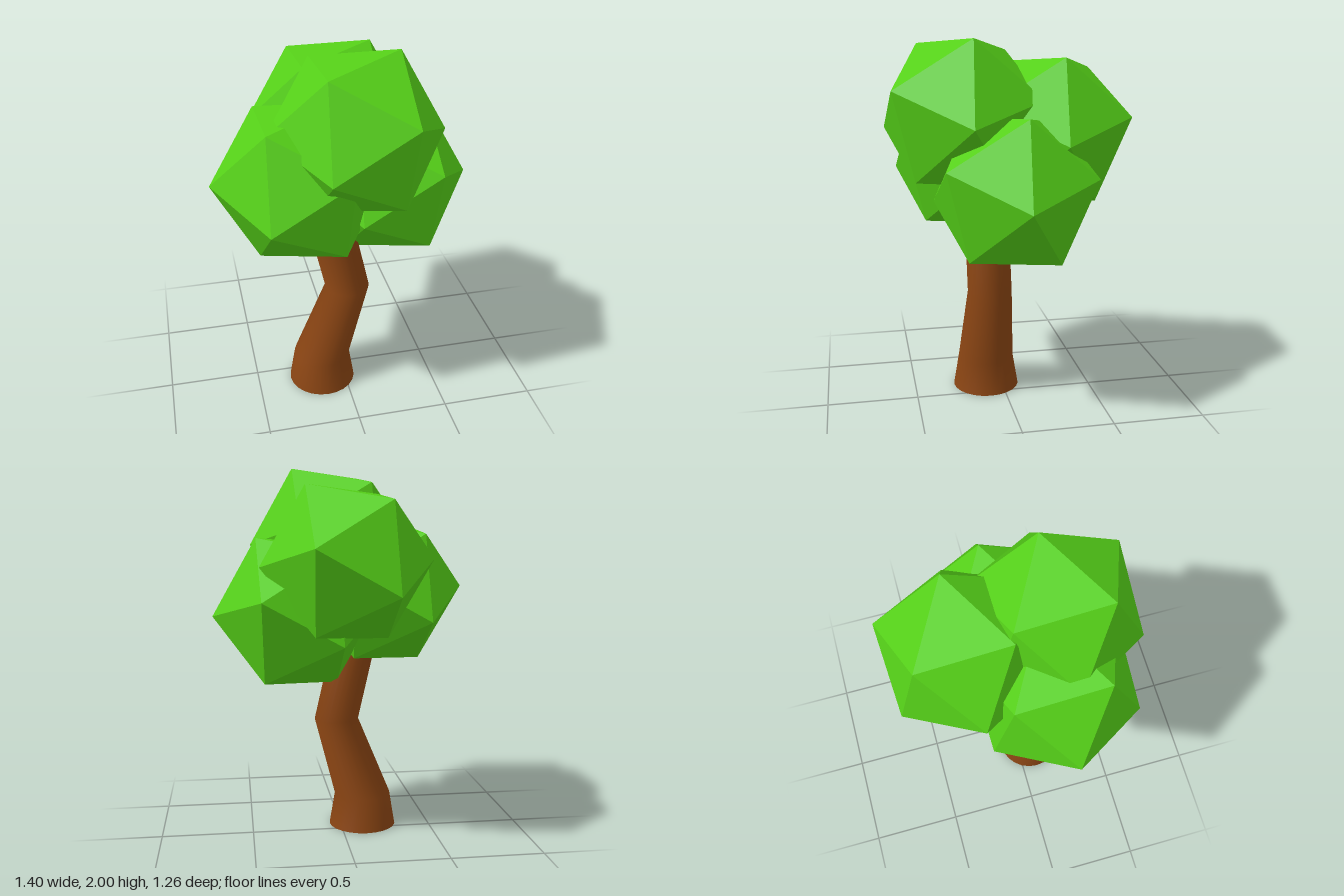
import * as THREE from 'three';
import { toCreasedNormals } from 'three/addons/utils/BufferGeometryUtils.js';

export function createModel() {
  const tree = new THREE.Group();
  tree.name = 'tree';
  const bark = new THREE.MeshStandardMaterial({ color: 0x8b4513 });
  const leaf = new THREE.MeshStandardMaterial({ color: 0x55d018, flatShading: true });

  // Trunk: horizontal rings along a crooked line, from bottom to top [x, y, radius]
  const rings = [[-0.127, 0, 0.187], [-0.127, 0.18, 0.157], [0.022, 0.62, 0.122], [-0.11, 1.2, 0.122]];
  const trunkZ = 0.0875;
  const steps = rings.length - 1;
  const geo = new THREE.CylinderGeometry(1, 1, 1, 24, steps);
  const pos = geo.attributes.position;
  for (let i = 0; i < pos.count; i++) {
    const [x, y, r] = rings[Math.round((pos.getY(i) + 0.5) * steps)];
    pos.setXYZ(i, x + pos.getX(i) * r, y, trunkZ + pos.getZ(i) * r);
  }
  const trunk = new THREE.Mesh(toCreasedNormals(geo, 0.9), bark);
  trunk.name = 'trunk';
  tree.add(trunk);

  // Foliage: equal icosahedra sharing one tilt, set by the direction of the top edge
  const xAxis = new THREE.Vector3(0.4, 0.04, -0.24).normalize();
  const zAxis = new THREE.Vector3().crossVectors(xAxis, new THREE.Vector3(0.03, 0.75, 0.18)).normalize();
  const yAxis = new THREE.Vector3().crossVectors(zAxis, xAxis);
  const tilt = new THREE.Matrix4().makeBasis(xAxis, yAxis, zAxis);
  const clump = new THREE.IcosahedronGeometry(0.453, 0).applyMatrix4(tilt);
  const clumps = {
    topFoliage: [0.035, 1.605, 0.232],
    backFoliage: [0.003, 1.505, -0.24],
    rightFoliage: [-0.245, 1.335, 0.16],
    leftFoliage: [0.245, 1.235, -0.005],
  };
  for (const [name, centre] of Object.entries(clumps)) {
    const mesh = new THREE.Mesh(clump, leaf);
    mesh.name = name;
    mesh.position.set(...centre);
    tree.add(mesh);
  }
  return tree;
}
